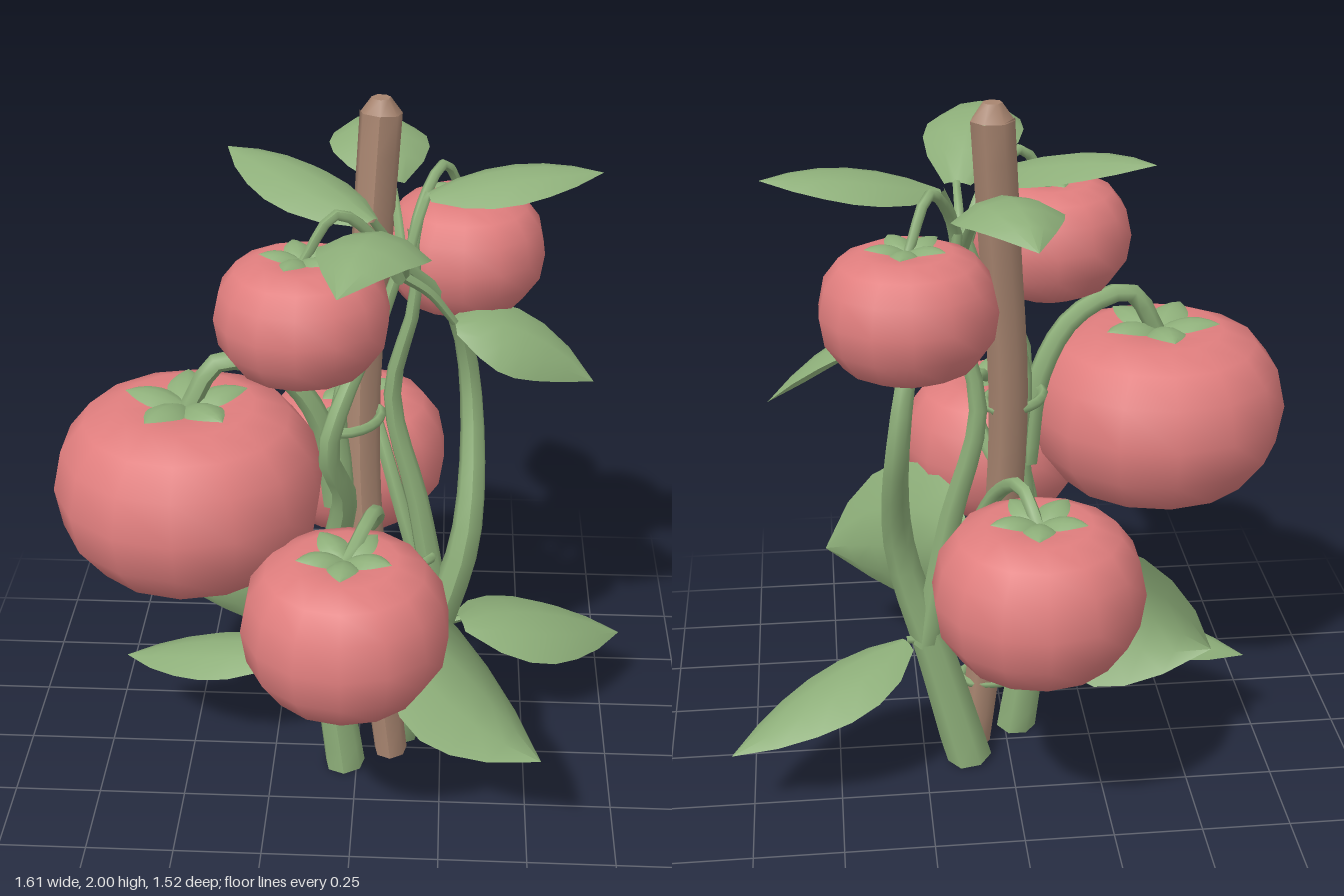
import * as THREE from 'three';

const V = (p) => new THREE.Vector3(...p);
const UP = new THREE.Vector3(0, 1, 0);
const red = new THREE.MeshStandardMaterial({ color: 0xe07e7e });
const green = new THREE.MeshStandardMaterial({ color: 0x8dae79 });
const wood = new THREE.MeshStandardMaterial({ color: 0xa88570 });
const leafGreen = new THREE.MeshStandardMaterial({ color: 0x8dae79, side: THREE.DoubleSide });

function add(parent, name, geometry, material) {
  const mesh = new THREE.Mesh(geometry, material);
  mesh.name = name;
  parent.add(mesh);
  return mesh;
}

// Tube along a smooth path, thinning from radius r0 to r1
function taperedTube(points, r0, r1, sides = 7) {
  const curve = new THREE.CatmullRomCurve3(points.map(V));
  const steps = points.length * 3;
  const geo = new THREE.TubeGeometry(curve, steps, r0, sides);
  const pos = geo.attributes.position;
  const p = new THREE.Vector3();
  for (let i = 0; i < pos.count; i++) {
    const t = Math.floor(i / (sides + 1)) / steps;
    const c = curve.getPointAt(t);
    p.fromBufferAttribute(pos, i).sub(c).multiplyScalar(1 + (r1 / r0 - 1) * t).add(c);
    pos.setXYZ(i, p.x, Math.max(0, p.y), p.z);
  }
  geo.computeVertexNormals();
  return geo;
}

// Arched, creased blade: five points across at each step of the spine;
// tilt 0 lies flat, tilt 1 or -1 stands on edge
function leafGeometry(base, tip, lift, width, tilt = 0) {
  const from = V(base), to = V(tip);
  const mid = from.clone().lerp(to, 0.5).addScaledVector(UP, lift);
  const spine = new THREE.QuadraticBezierCurve3(from, mid, to);
  const across = UP.clone().cross(to.clone().sub(from)).normalize();
  const facing = across.multiplyScalar(tilt).addScaledVector(UP, 1 - Math.abs(tilt));
  const rows = 7, verts = [], index = [];
  for (let i = 0; i < rows; i++) {
    const t = i / (rows - 1);
    const swell = Math.max(0, Math.sin(Math.PI * (0.06 + 0.94 * t ** 0.9)));
    const w = swell ** 0.8 * width / 2;
    const c = spine.getPoint(t);
    const tangent = spine.getTangent(t);
    const side = tangent.clone().cross(facing).normalize();
    const normal = side.clone().cross(tangent);
    for (let j = 0; j < 5; j++) {
      const s = j / 2 - 1;
      const p = c.clone().addScaledVector(side, s * w).addScaledVector(normal, -0.4 * s * s * w);
      verts.push(p.x, p.y, p.z);
      if (i && j < 4) {
        const b = i * 5 + j, a = b - 5;
        index.push(a, a + 1, b, a + 1, b + 1, b);
      }
    }
  }
  const geo = new THREE.BufferGeometry();
  geo.setAttribute('position', new THREE.Float32BufferAttribute(verts, 3));
  geo.setIndex(index);
  geo.computeVertexNormals();
  return geo;
}

// Squat fruit with a five-pointed calyx
function tomato(centre, radius, halfHeight, turn) {
  const group = new THREE.Group();
  group.name = 'tomato';
  const outline = [[0, -1], [0.42, -0.96], [0.75, -0.75], [0.95, -0.36], [1, 0.08],
    [0.93, 0.52], [0.76, 0.82], [0.5, 0.97], [0.2, 0.93], [0, 0.85]]
    .map(([r, h]) => new THREE.Vector2(r * radius, h * halfHeight));
  add(group, 'fruit', new THREE.LatheGeometry(outline, 14), red);
  const sepalGeometry = leafGeometry([0, halfHeight * 0.95, 0],
    [radius * 0.47, halfHeight * 1.03, 0], halfHeight * 0.18, radius * 0.3);
  for (let i = 0; i < 5; i++) {
    add(group, 'sepal', sepalGeometry, leafGreen).rotation.y = turn + i * Math.PI * 2 / 5;
  }
  group.position.set(...centre);
  return group;
}

export function createModel() {
  const model = new THREE.Group();
  model.name = 'tomatoPlant';

  // Bowed wooden stake with a blunt chamfered top
  const stakePath = [[0.1, 0, 0.01], [0.055, 0.4, 0], [0.012, 0.85, -0.04], [0.005, 1.2, -0.08],
    [0.03, 1.6, -0.12], [0.052, 1.96, -0.155]];
  add(model, 'stake', taperedTube(stakePath, 0.05, 0.058), wood);
  const stakeTip = add(model, 'stakeTip', new THREE.CylinderGeometry(0.026, 0.058, 0.045, 7), wood);
  stakeTip.position.set(0.052, 1.977, -0.157);

  // Two main stems rooted at the ground
  const leftStem = [[-0.035, 0, 0.08], [-0.08, 0.4, 0.06], [-0.06, 0.75, 0.06], [-0.03, 0.97, 0.14],
    [-0.07, 1.15, 0.22], [-0.02, 1.31, 0.17], [0.06, 1.45, 0.04], [0.11, 1.6, 0.02]];
  const rightStem = [[0.12, 0, -0.08], [0.21, 0.35, -0.07], [0.31, 0.72, -0.08],
    [0.31, 1.13, -0.23], [0.25, 1.4, -0.16], [0.12, 1.58, -0.04]];
  add(model, 'mainStem', taperedTube(leftStem, 0.06, 0.015), green);
  add(model, 'mainStem', taperedTube(rightStem, 0.068, 0.015), green);

  // Closed feet of the stake and stems
  for (const [[x, , z], material] of [[stakePath[0], wood], [leftStem[0], green], [rightStem[0], green]]) {
    const foot = add(model, 'foot', new THREE.CircleGeometry(0.054, 7), material);
    foot.rotation.x = Math.PI / 2;
    foot.position.set(x, 0.004, z);
  }

  // Side branches
  const rightBranch = [[0.24, 0.4, -0.08], [0.17, 0.8, -0.1], [0.09, 1.15, -0.12], [0.15, 1.45, -0.1], [0.14, 1.65, -0.12]];
  const leftBranch = [[-0.07, 0.6, 0.06], [-0.04, 0.95, 0.05], [-0.05, 1.2, 0.04], [0.03, 1.45, 0.03]];
  for (const path of [rightBranch, leftBranch]) {
    add(model, 'branch', taperedTube(path, 0.042, 0.014), green);
  }

  // Fruit: centre, radius, half height, calyx turn, stalk radius, stalk path to the fruit
  const fruits = [
    [[-0.45, 1.005, 0.16], 0.367, 0.257, 0.4, 0.036,
      [[-0.06, 0.9, 0.06], [-0.1, 1.16, 0.07], [-0.2, 1.32, 0.1], [-0.36, 1.37, 0.14]]],
    [[-0.01, 0.77, 0.48], 0.278, 0.218, 0.9, 0.026,
      [[-0.06, 0.5, 0.08], [-0.02, 0.78, 0.13], [0.06, 0.95, 0.22], [0.05, 1.04, 0.36]]],
    [[-0.035, 0.77, -0.475], 0.282, 0.218, 0.2, 0.026,
      [[0.2, 0.5, -0.09], [0.12, 0.76, -0.15], [0.05, 0.96, -0.25], [0, 1.04, -0.39]]],
    [[-0.135, 1.525, 0.185], 0.23, 0.167, 0.6, 0.018,
      [[0.11, 1.56, 0.02], [0.05, 1.7, 0.08], [-0.05, 1.79, 0.14]]],
    [[0.28, 1.508, -0.315], 0.23, 0.17, 0.1, 0.018,
      [[0.13, 1.52, -0.06], [0.16, 1.7, -0.14], [0.22, 1.79, -0.24]]],
  ];
  for (const [centre, radius, halfHeight, turn, thickness, path] of fruits) {
    model.add(tomato(centre, radius, halfHeight, turn));
    const [x, y, z] = centre;
    const stalk = [...path, [x, y + halfHeight * 0.88, z]];
    add(model, 'fruitStalk', taperedTube(stalk, thickness, thickness * 0.7, 6), green);
  }

  // Leaves grouped by the node they grow from: base, tip, arch, width, tilt
  const crown = [
    [[0.04, 1.75, 0.07], [-0.36, 1.84, -0.21], 0.08, 0.26],
    [[0.18, 1.76, -0.1], [0.64, 1.81, -0.14], 0.08, 0.26],
    [[0.08, 1.74, -0.23], [-0.01, 1.77, -0.64], 0.17, 0.28],
    [[0.12, 1.7, 0.15], [-0.02, 1.77, 0.61], 0.21, 0.28],
    [[0.26, 1.4, -0.07], [0.65, 1.2, -0.13], 0.12, 0.26, -0.3],
  ];
  const leftSide = [
    [[0.1, 0.58, 0.08], [0.52, 0.39, 0.54], 0.05, 0.49, 1],
    [[-0.1, 0.57, -0.03], [-0.56, 0.42, -0.23], 0.03, 0.47, 1],
    [[-0.18, 0.41, 0.07], [-0.7, 0.28, -0.05], 0.07, 0.26],
    [[-0.02, 0.57, 0.13], [-0.21, 0.5, 0.13], 0.01, 0.17, 1],
  ];
  const rightSide = [[[0.3, 0.42, -0.09], [0.8, 0.22, -0.33], 0.09, 0.33, -0.12]];
  const nodes = [[[0.12, 1.56, -0.01], crown], [[-0.06, 0.66, 0.06], leftSide], [[0.22, 0.36, -0.07], rightSide]];
  for (const [node, leaves] of nodes) {
    for (const leaf of leaves) {
      const bend = node.map((v, i) => (v + leaf[0][i]) / 2);
      bend[1] += 0.02;
      add(model, 'leafTwig', taperedTube([node, bend, leaf[0]], 0.016, 0.011, 5), green);
      add(model, 'leaf', leafGeometry(...leaf), leafGreen);
    }
  }

  // Ties looped round the stake and stems: centre, half lengths, turn
  const ties = [
    [[0, 0.22, 0.045], 0.14, 0.07, 0.25],
    [[0.12, 0.65, -0.06], 0.1, 0.055, 0.3],
    [[-0.02, 1.13, -0.01], 0.1, 0.07, 0.9],
  ];
  for (const [centre, a, b, turn] of ties) {
    const loop = new THREE.EllipseCurve(0, 0, a, b).getPoints(12).slice(0, 12)
      .map((p) => new THREE.Vector3(p.x, 0, p.y));
    const tie = add(model, 'tie',
      new THREE.TubeGeometry(new THREE.CatmullRomCurve3(loop, true), 16, 0.015, 5, true), green);
    tie.position.set(...centre);
    tie.rotation.y = turn;
  }
  return model;
}
